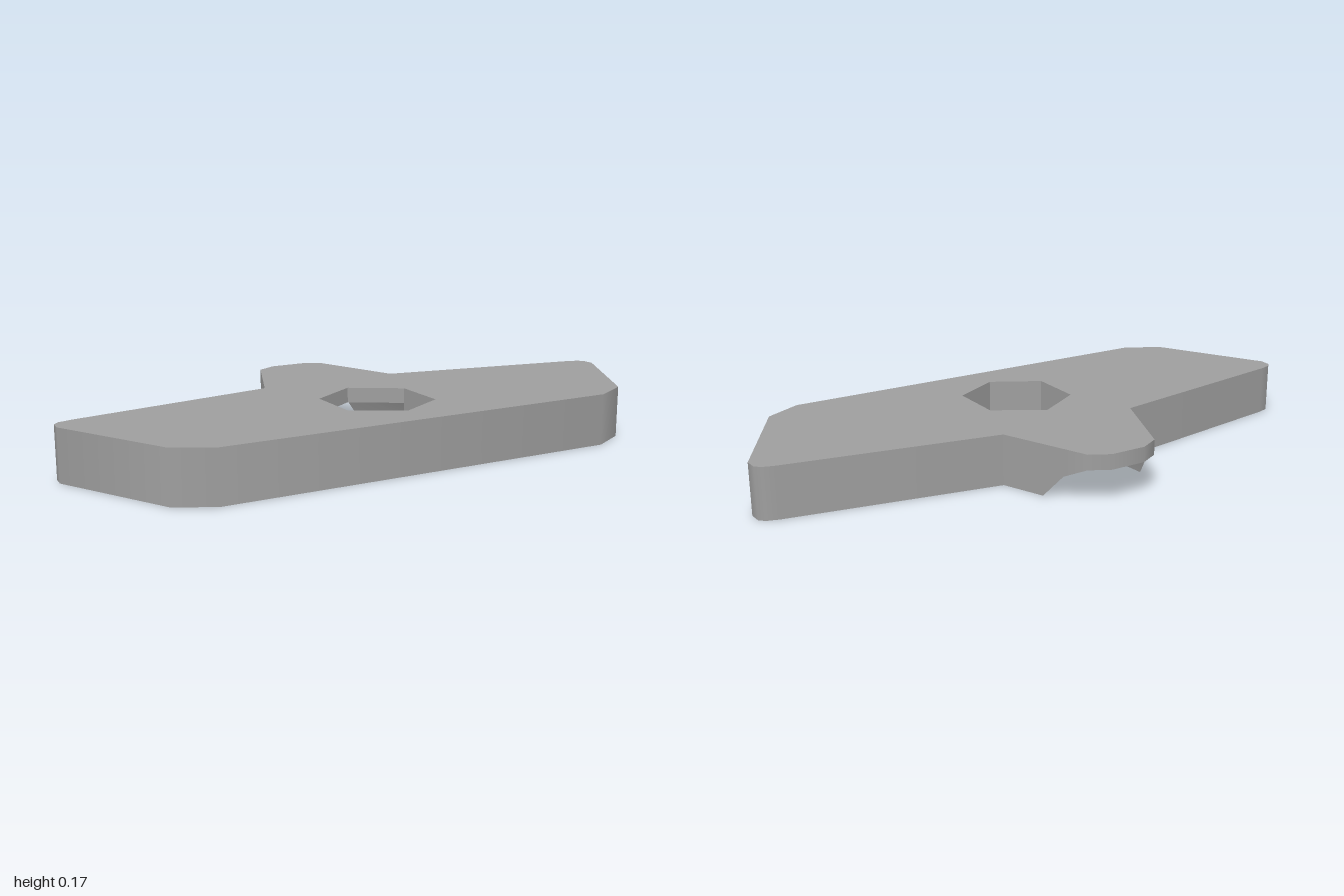
import * as THREE from 'three';

const TOP = 0.17, CEILING = 0.12;
const material = new THREE.MeshStandardMaterial({ color: 0x9e9e9e, side: THREE.DoubleSide });

// Ribbon of quads between two rows of points, smooth over gentle bends and creased at sharp ones.
function ribbon(lower, upper) {
  const lo = lower.map((p) => new THREE.Vector3(...p));
  const up = upper.map((p) => new THREE.Vector3(...p));
  const faces = lo.slice(1).map((d, i) =>
    up[i + 1].clone().sub(lo[i]).cross(d.clone().sub(up[i])).normalize());
  const blend = (i, j) => {
    const n = faces[i].clone();
    if (faces[j] && n.dot(faces[j]) > 0.73) n.add(faces[j]).normalize();
    return n;
  };
  const pos = [], nor = [];
  faces.forEach((_, i) => {
    const start = blend(i, i - 1), end = blend(i, i + 1);
    for (const p of [lo[i], up[i], up[i + 1], lo[i], up[i + 1], lo[i + 1]]) pos.push(...p);
    for (const n of [start, start, end, start, end, end]) nor.push(...n);
  });
  const geo = new THREE.BufferGeometry();
  geo.setAttribute('position', new THREE.Float32BufferAttribute(pos, 3));
  geo.setAttribute('normal', new THREE.Float32BufferAttribute(nor, 3));
  return geo;
}

// Upright wall along [x, z, bottom] points, up to the given height.
const wall = (pts, top) => ribbon(pts.map(([x, z, y]) => [x, y, z]), pts.map(([x, z]) => [x, top, z]));

// Flat horizontal sheet, facing up or down.
function sheet(pts, hole, y, up) {
  const s = up ? -1 : 1;
  const to2 = (list) => list.map(([x, z]) => new THREE.Vector2(x, s * z));
  const shape = new THREE.Shape(to2(pts));
  if (hole) shape.holes.push(new THREE.Path(to2(hole)));
  return new THREE.ShapeGeometry(shape).rotateX(s * Math.PI / 2).translate(0, y, 0);
}

export function createModel() {
  const group = new THREE.Group();
  const add = (name, geo) => {
    const mesh = new THREE.Mesh(geo, material);
    mesh.name = name;
    group.add(mesh);
  };

  // Half outline from the back tip round to the front: x, z, bottom height
  const half = [
    [0.06, -0.475, CEILING], [0.125, -0.44, CEILING], [0.158, -0.36, 0.08], [0.187, -0.29, 0],
    [0.245, -0.15, 0], [0.94, -0.03, 0], [0.98, -0.018, 0], [0.997, 0, 0], [1, 0.04, 0],
    [0.8, 0.41, 0], [0.68, 0.475, 0],
  ];
  const tip = [0, -0.475, CEILING];
  const outline = [tip, ...half, ...half.map(([x, z, y]) => [-x, z, y]).reverse()];
  const hex = [[0, -0.02], [0.16, 0.08], [0.16, 0.27], [0, 0.36], [-0.16, 0.27], [-0.16, 0.08]];

  // Thin shell, open underneath
  add('topPlate', sheet(outline, hex, TOP, true));
  add('outerWall', wall([...outline, tip], TOP));

  // Hexagonal socket: full depth at the front and sides, shallow at the back
  const deep = hex.slice(1).map(([x, z]) => [x, z, 0]).reverse();
  const shallow = [hex[1], hex[0], hex[5]].map(([x, z]) => [x, z, CEILING]);
  add('socketWall', wall(deep, TOP));
  add('socketBackRim', wall(shallow, TOP));

  // Channel running from the socket out under the back tongue
  add('channelCeiling', sheet([
    [0.06, -0.475], [0.125, -0.44], hex[1], hex[0], hex[5], [-0.125, -0.44], [-0.06, -0.475],
  ], null, CEILING, false));
  for (const side of [1, -1]) {
    const inner = [0, 0.08, CEILING].map((y) => [side * 0.16, y, 0.08]);
    const outer = [[0.187, 0, -0.29], [0.158, 0.08, -0.36], [0.125, CEILING, -0.44]]
      .map(([x, y, z]) => [side * x, y, z]);
    add(side > 0 ? 'leftChannelWall' : 'rightChannelWall',
      side > 0 ? ribbon(inner, outer) : ribbon(outer, inner));
  }
  return group;
}
